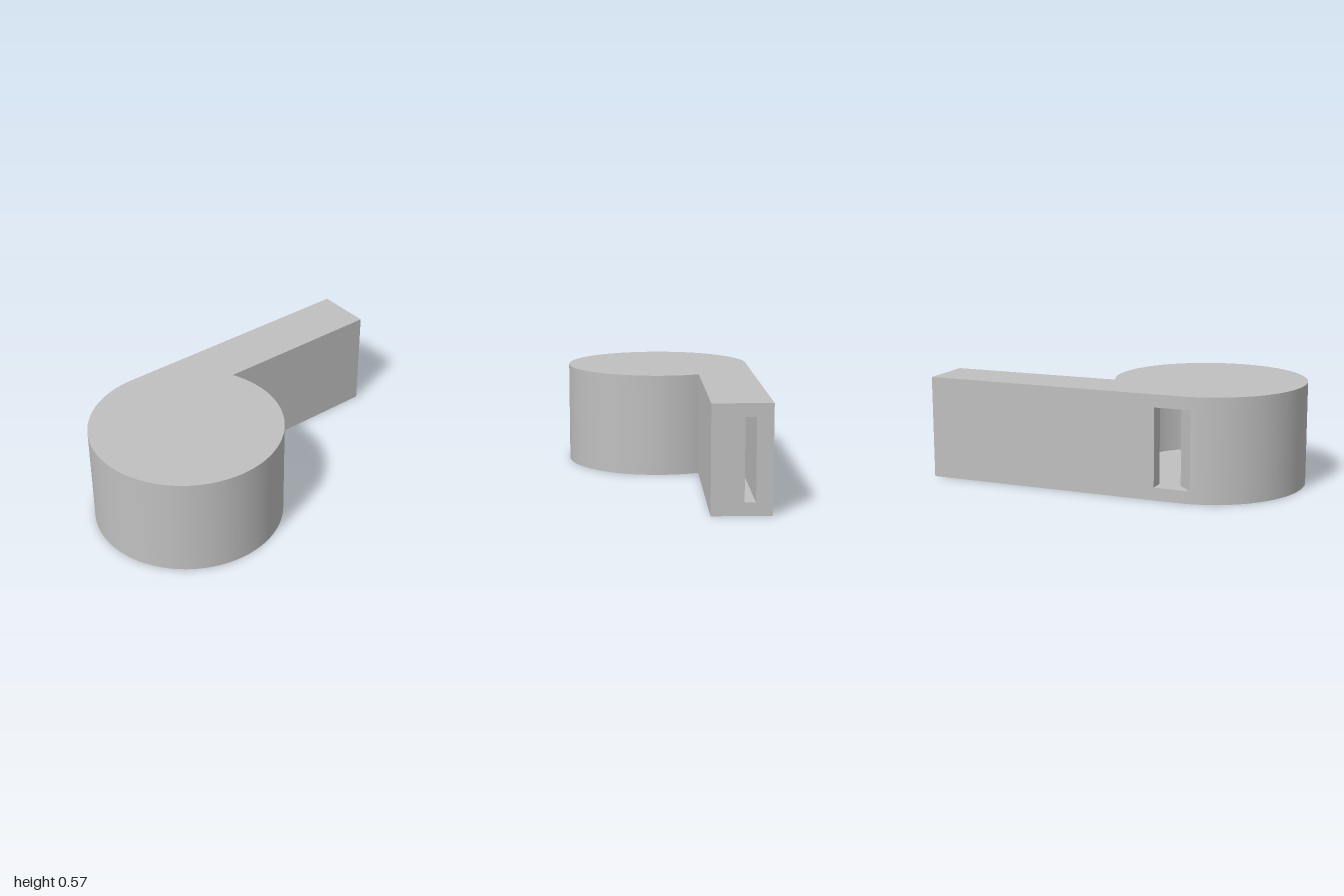
import * as THREE from 'three';

// Plan is drawn as (x, -z) and extruded upward
const CX = -0.467, R = 0.533, RI = 0.447;   // chamber centre, outer and inner radius
const FRONT = 0.22, BACK = 0.533, SLOT = 0.39; // mouthpiece faces and air slot, as -z
const FLOOR = 0.07, CEIL = 0.503, TOP = 0.573;
const SEGMENTS = 64;

export function createModel() {
  const group = new THREE.Group();
  const plastic = new THREE.MeshStandardMaterial({ color: 0xc0c0c0 });
  plastic.name = 'grey plastic';

  const addLayer = (name, shape, y0, y1) => {
    const geometry = new THREE.ExtrudeGeometry(shape, {
      depth: y1 - y0, bevelEnabled: false, curveSegments: SEGMENTS,
    });
    geometry.rotateX(-Math.PI / 2);
    geometry.translate(0, y0, 0);
    const mesh = new THREE.Mesh(geometry, plastic);
    mesh.name = name;
    group.add(mesh);
  };

  const joint = Math.asin(FRONT / R) + Math.PI * 2; // where drum meets mouthpiece

  // Full outline for floor and lid
  const plan = new THREE.Shape();
  plan.moveTo(1, BACK);
  plan.lineTo(CX, BACK);
  plan.absarc(CX, 0, R, Math.PI / 2, joint, false);
  plan.lineTo(1, FRONT);
  plan.closePath();
  addLayer('floor', plan, 0, FLOOR);
  addLayer('lid', plan, CEIL, TOP);

  // Chamber wall: from the slanted sounding edge round to the slot's front side
  const lip = Math.acos((-0.535 - CX) / R);
  const tip = Math.acos((-0.455 - CX) / RI);
  const wall = new THREE.Shape();
  wall.moveTo(CX + R * Math.cos(lip), R * Math.sin(lip));
  wall.absarc(CX, 0, R, lip, joint, false);
  wall.lineTo(1, FRONT);
  wall.lineTo(1, SLOT);
  wall.absarc(CX, 0, RI, Math.asin(SLOT / RI), tip, true);
  wall.closePath();
  addLayer('chamberWall', wall, FLOOR, CEIL);

  // Back wall of the air slot, ending at the sound window
  const back = new THREE.Shape();
  back.moveTo(-0.335, RI);
  back.lineTo(1, RI);
  back.lineTo(1, BACK);
  back.lineTo(-0.335, BACK);
  back.closePath();
  addLayer('mouthpieceBackWall', back, FLOOR, CEIL);

  return group;
}
